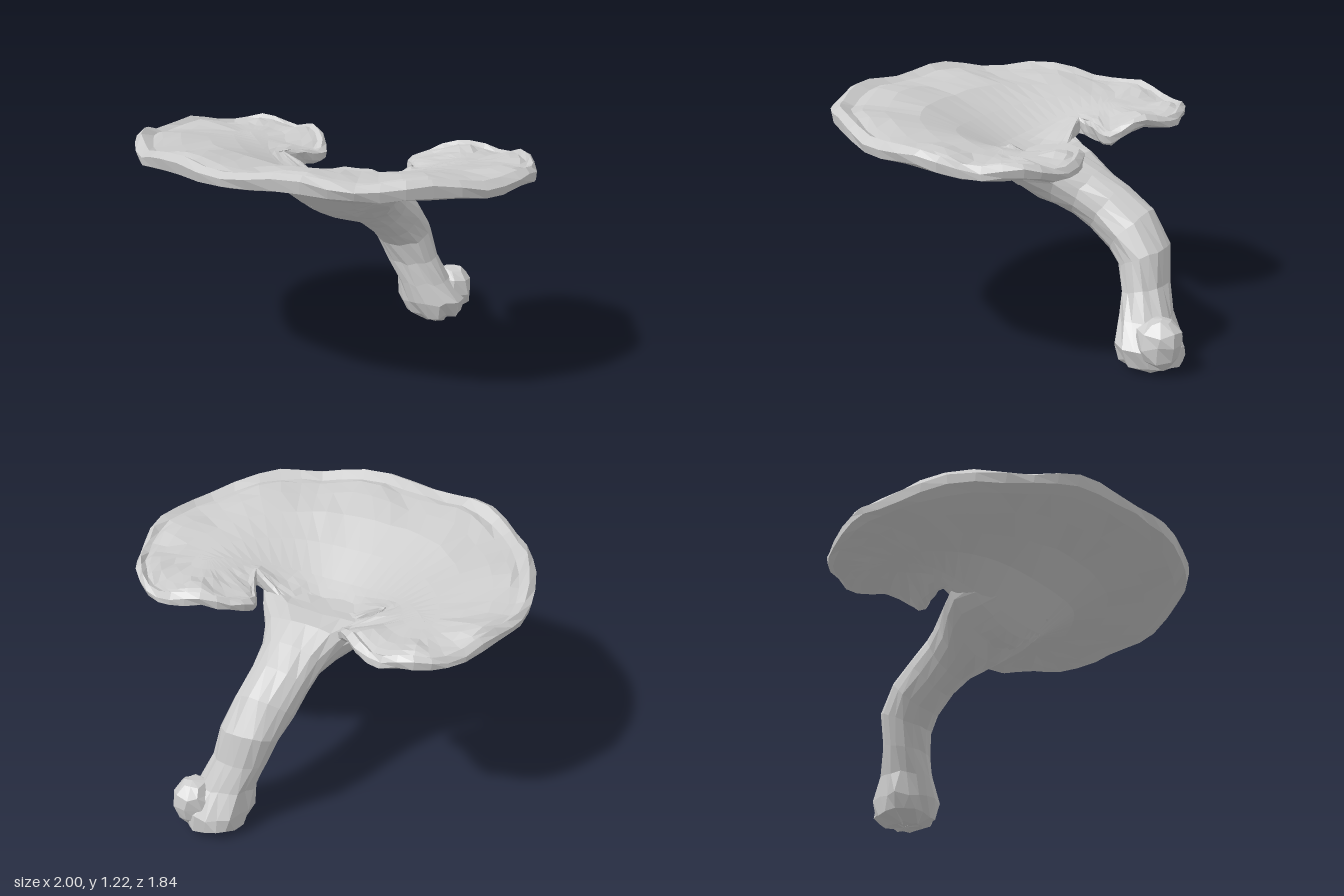
import * as THREE from 'three';
import { mergeVertices } from 'three/addons/utils/BufferGeometryUtils.js';

const grey = new THREE.MeshStandardMaterial({ color: 0xcccccc, flatShading: true, side: THREE.DoubleSide });
const { smoothstep } = THREE.MathUtils;

let seed = 7;
const jitter = (a) => {
  seed = (seed * 16807) % 2147483647;
  return (seed / 2147483647 - 0.5) * 2 * a;
};

// Skin a list of closed rings (each an array of Vector3 of equal length)
function skin(rings) {
  const n = rings[0].length, pos = [], idx = [];
  rings.forEach((r) => r.forEach((p) => pos.push(p.x, p.y, p.z)));
  for (let i = 0; i < rings.length - 1; i++) {
    for (let j = 0; j < n; j++) {
      const a = i * n + j, b = i * n + (j + 1) % n, d = a + n, c = b + n;
      idx.push(a, d, c, a, c, b);
    }
  }
  const g = new THREE.BufferGeometry();
  g.setAttribute('position', new THREE.Float32BufferAttribute(pos, 3));
  g.setIndex(idx);
  const m = mergeVertices(g, 1e-4);
  m.computeVertexNormals();
  return m;
}

// Half of the kidney outline, from notch to front: [x, z, hub x]
const half = [
  [0.2, -0.1, 0.15], [0.35, -0.08, 0.38], [0.29, -0.19, 0.5], [0.23, -0.31, 0.56],
  [0.35, -0.45, 0.58], [0.56, -0.53, 0.59], [0.78, -0.46, 0.59], [0.93, -0.24, 0.57],
  [1, 0.05, 0.52], [0.92, 0.38, 0.42], [0.68, 0.71, 0.3], [0.38, 0.87, 0.16],
];

function makeCap() {
  const outline = [
    [0, -0.1, 0], ...half.map(([x, z, h]) => [-x, z, -h]),
    [0, 0.92, 0], ...half.slice().reverse(),
  ];
  const curve = new THREE.CatmullRomCurve3(
    outline.map(([x, z, h]) => new THREE.Vector3(x, h, z)), true, 'catmullrom', 0.5);
  const N = 78;
  // Rows run over the top from the hub to the lip, then back below: [reach, lift, funnel depth, radius, puff]
  const rows = [
    [0, 0, 0.19, 0.62, 0], [0.22, 0, 0.19, 0.62, 0], [0.45, 0.01, 0.19, 0.62, 0.004], [0.66, 0.022, 0.19, 0.61, 0.014],
    [0.8, 0.02, 0.19, 0.59, 0.016], [0.87, 0.01, 0.19, 0.58, 0.012], [0.94, 0.035, 0.2, 0.57, 0.016],
    [1, 0.005, 0.21, 0.56, 0.016], [0.985, -0.04, 0.24, 0.55, 0.012], [0.9, -0.06, 0.27, 0.55, 0.008],
    [0.7, -0.072, 0.28, 0.55, 0], [0.45, -0.08, 0.28, 0.55, 0], [0.22, -0.08, 0.28, 0.55, 0], [0, -0.08, 0.28, 0.55, 0],
  ];
  const rings = rows.map(([s, lift, depth, radius, puff]) => {
    const ring = [];
    for (let j = 0; j < N; j++) {
      const p = curve.getPoint(j / N);
      const hx = p.y, hz = 0.15 - 0.9 * hx * hx;
      const x = hx + (p.x - hx) * s, z = hz + (p.z - hz) * s;
      const fall = 1 - smoothstep(Math.hypot(x, z + 0.05), 0.02, radius);
      // Scallops and lip fade out inside the funnel; the flesh is thinner at the back
      const thick = lift * (0.75 + 0.25 * smoothstep(z, -0.3, 0.3));
      const relief = (Math.max(thick, 0) + puff * Math.cos((j / N - 0.52) * Math.PI * 30)) * (1 - fall);
      const k = s > 0.3 ? 0.006 : 0;
      const y = 1.085 + 0.1 * z + Math.min(thick, 0) + relief - depth * fall;
      ring.push(new THREE.Vector3(x + jitter(k), y + jitter(k), z + jitter(k)));
    }
    return ring;
  });
  return skin(rings);
}

// Stem stations from the cap down to the foot: [x, y, z, half width, half thickness, raised sides]
const stations = [
  [0, 0.89, 0.2, 0.2, 0.02, 0.03], [0, 0.85, 0.07, 0.31, 0.06, 0.08], [0, 0.825, -0.04, 0.34, 0.09, 0.1],
  [0, 0.815, -0.12, 0.29, 0.115, 0.07], [0.01, 0.8, -0.22, 0.21, 0.135, 0.03], [0.015, 0.755, -0.32, 0.165, 0.133, 0.01],
  [0.02, 0.695, -0.43, 0.15, 0.13, 0], [0.035, 0.61, -0.55, 0.15, 0.135, 0], [0.065, 0.5, -0.635, 0.145, 0.125, 0],
  [0.105, 0.36, -0.66, 0.135, 0.11, 0], [0.16, 0.23, -0.69, 0.14, 0.135, 0], [0.2, 0.12, -0.73, 0.175, 0.17, 0],
  [0.2, 0.04, -0.75, 0.15, 0.15, 0], [0.21, 0.005, -0.75, 0.08, 0.09, 0], [0.21, 0.0, -0.75, 0.001, 0.001, 0],
];

function makeStem() {
  const N = 18, foot = 10;
  const rings = stations.map(([x, y, z, w, h, sides], i) => {
    const a = stations[Math.max(i - 1, 0)], b = stations[Math.min(i + 1, stations.length - 1)];
    const t = new THREE.Vector2(b[1] - a[1], b[2] - a[2]).normalize();
    if (i >= foot) t.set(-1, 0);
    const k = i >= foot ? 0.012 : 0.006;
    return Array.from({ length: N }, (_, j) => {
      const q = j / N * Math.PI * 2, c = Math.cos(q), u = Math.sin(q) * h;
      return new THREE.Vector3(
        x + c * w + jitter(k), Math.max(0, y - t.y * u + sides * c * c + jitter(k)), z + t.x * u + jitter(k));
    });
  });
  return skin(rings);
}

// Rough lump on the back of the foot
function makeLump() {
  const g = mergeVertices(new THREE.SphereGeometry(1, 9, 6).deleteAttribute('uv').deleteAttribute('normal'), 1e-3);
  const p = g.attributes.position;
  for (let i = 0; i < p.count; i++) {
    p.setXYZ(i, p.getX(i) * 0.11 + jitter(0.012), p.getY(i) * 0.13 + jitter(0.012), p.getZ(i) * 0.11 + jitter(0.012));
  }
  g.computeVertexNormals();
  return g;
}

export function createModel() {
  const group = new THREE.Group();
  const add = (name, geometry) => {
    const mesh = new THREE.Mesh(geometry, grey);
    mesh.name = name;
    group.add(mesh);
    return mesh;
  };
  add('cap', makeCap());
  add('stem', makeStem());
  add('footLump', makeLump()).position.set(0.275, 0.15, -0.815);
  return group;
}
